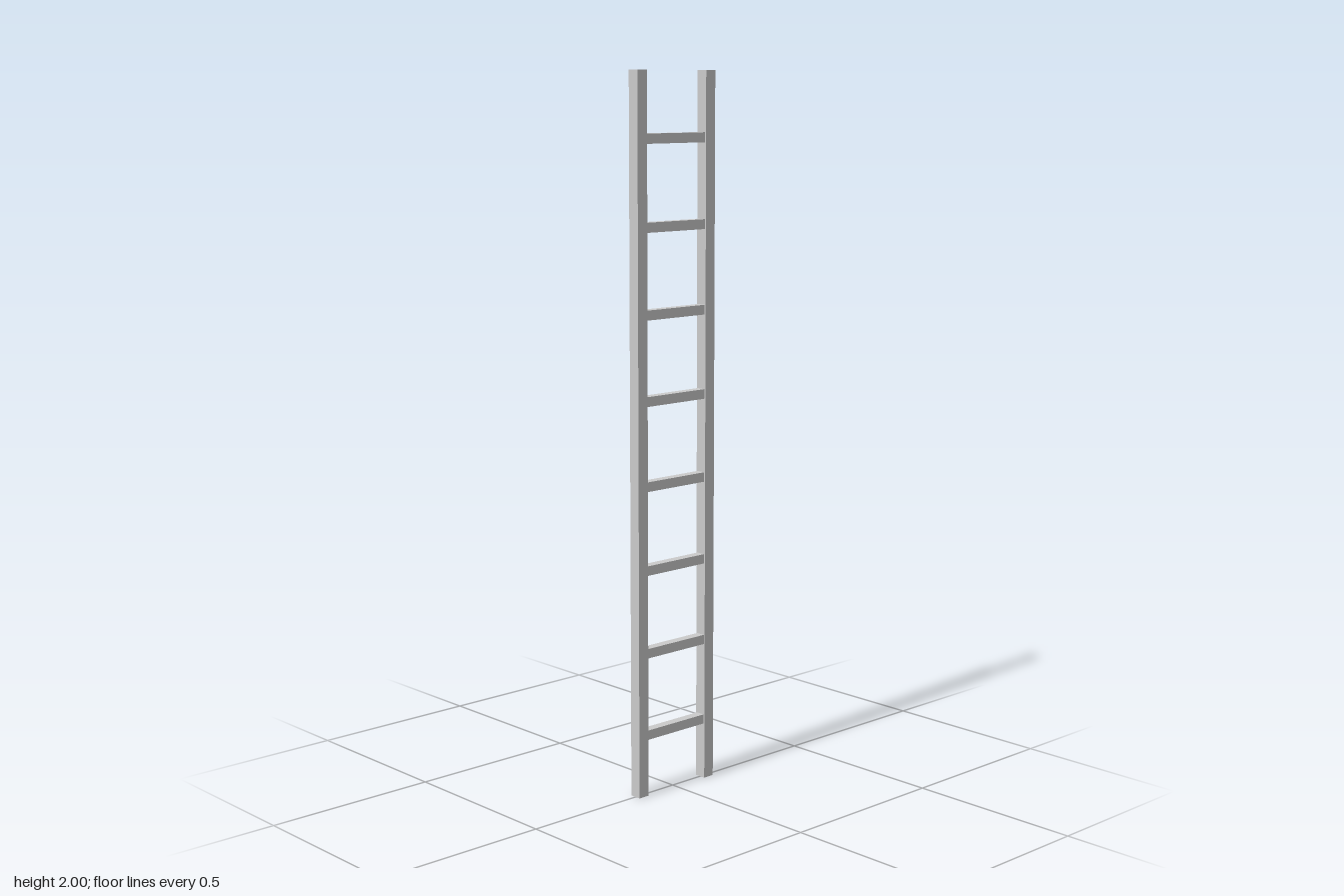
import * as THREE from 'three';

export function createModel() {
  const ladder = new THREE.Group();
  ladder.name = 'ladder';
  const material = new THREE.MeshStandardMaterial({ color: 0xcccccc, flatShading: true });

  const height = 2, railSize = 0.034, railX = 0.125;
  const rungSize = 0.027, rungCount = 8, firstRung = 0.175, rungStep = 0.235;

  const addPart = (name, geometry, x, y) => {
    const mesh = new THREE.Mesh(geometry, material);
    mesh.name = name;
    mesh.position.set(x, y, 0);
    ladder.add(mesh);
  };

  // Two square upright rails
  const railGeometry = new THREE.BoxGeometry(railSize, height, railSize);
  addPart('leftRail', railGeometry, railX, height / 2);
  addPart('rightRail', railGeometry, -railX, height / 2);

  // Evenly spaced square rungs fitted between the rails
  const rungGeometry = new THREE.BoxGeometry(2 * railX - railSize, rungSize, rungSize);
  for (let i = 0; i < rungCount; i++) {
    addPart(`rung${i + 1}`, rungGeometry, 0, firstRung + i * rungStep);
  }

  return ladder;
}
